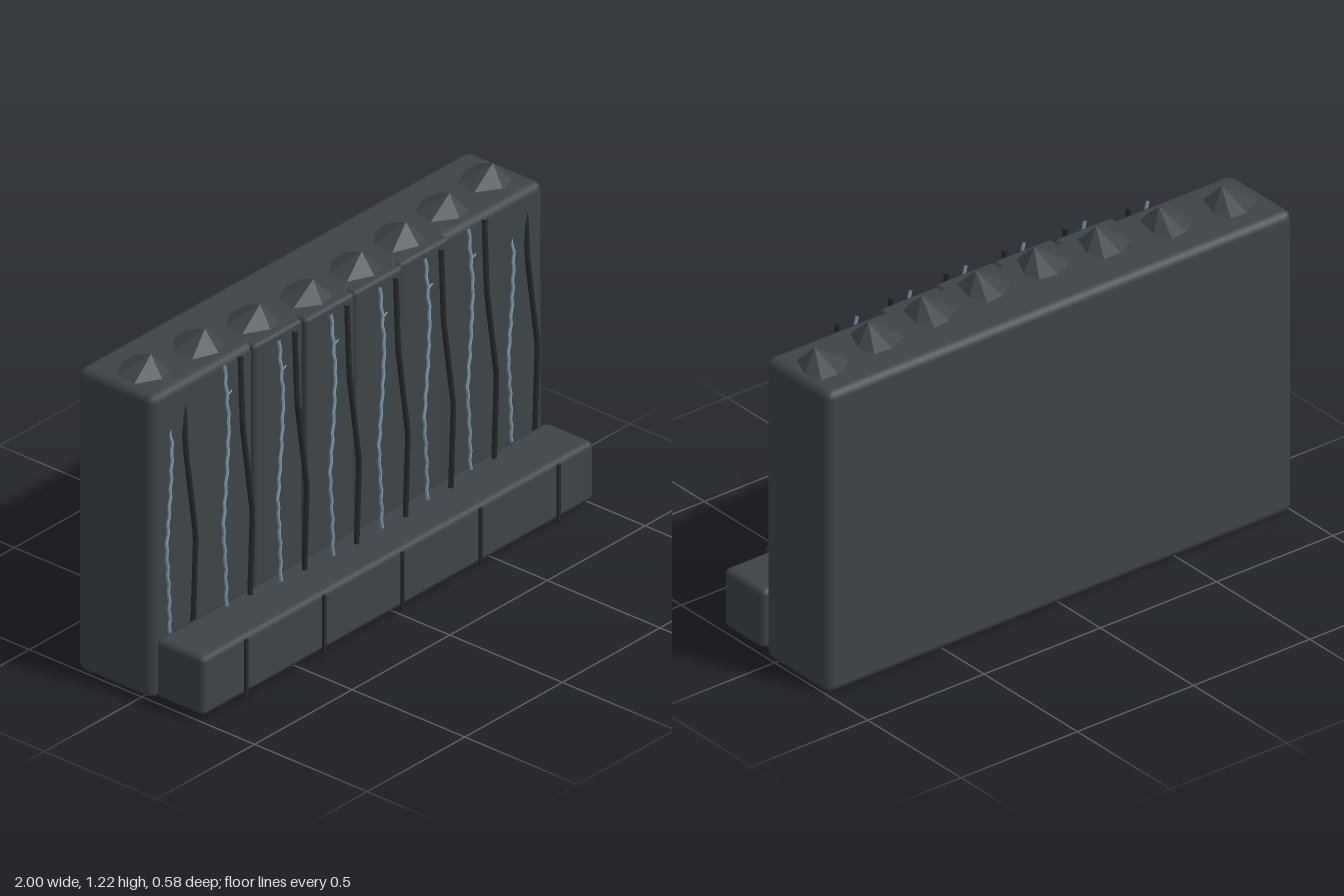
import * as THREE from 'three';
import { RoundedBoxGeometry } from 'three/addons/geometries/RoundedBoxGeometry.js';

const mat = (name, color) => new THREE.MeshStandardMaterial({ name, color });

export function createModel() {
  const model = new THREE.Group();
  model.name = 'rockWall';
  const stone = mat('stone', 0x3e4347);
  const dark = mat('darkStone', 0x24282b);
  const vein = mat('paleBlueVein', 0x7f9cb0);

  const add = (name, geometry, material, parent = model) => {
    const mesh = new THREE.Mesh(geometry, material);
    mesh.name = name;
    parent.add(mesh);
    return mesh;
  };
  // chamfered box given by its minimum and maximum corners
  const block = (name, a, b, bevel) => {
    const size = a.map((v, i) => b[i] - v);
    const mesh = add(name, new RoundedBoxGeometry(...size, 1, bevel), stone);
    mesh.position.set(...a.map((v, i) => (v + b[i]) / 2));
  };
  // straight-segmented path through points
  const polyline = points => {
    const path = new THREE.CurvePath();
    for (let i = 1; i < points.length; i++) {
      path.add(new THREE.LineCurve3(points[i - 1], points[i]));
    }
    return path;
  };
  const vectors = list => list.map(p => new THREE.Vector3(...p));
  const tube = (name, points, segments, radius, material, parent) =>
    add(name, new THREE.TubeGeometry(polyline(points), segments, radius, 6, false), material, parent);

  // main wall and the plinth in front of it
  block('wall', [-1, 0, -0.29], [1, 1.16, 0.05], 0.028);
  block('plinth', [-1, 0.02, 0.06], [1, 0.245, 0.275], 0.02);

  // thin joint strips standing just off the plinth
  for (let i = -2; i <= 2; i++) {
    const strip = add('jointStrip', new THREE.BoxGeometry(0.012, 0.22, 0.009), dark);
    strip.position.set(i * 0.4, 0.133, 0.29);
  }

  // per-column values, mirrored about the middle
  const slabFront = [0, 0, 0.067, 0.08];
  const ridgeZ = [0.05, 0.085, 0.11, 0.125];
  const capZ = [-0.105, -0.08, -0.055, -0.035];
  // outline of a cap stone, in x and z
  const capRing = [
    [0, 0.09], [0.065, 0.07], [0.097, -0.03], [0.075, -0.1],
    [0, -0.1], [-0.085, -0.05], [-0.095, 0.04],
  ];

  for (let c = 0; c < 8; c++) {
    const m = c < 4 ? c : 7 - c;
    const x = -0.875 + c * 0.25;
    const z = ridgeZ[m];

    // projecting front slab
    if (slabFront[m]) {
      block('frontSlab', [x - 0.125, 0, -0.1], [x + 0.125, 1.16, slabFront[m]], 0.014);
    }

    const column = new THREE.Group();
    column.name = 'columnDetail';
    column.position.x = x;
    model.add(column);

    // dark bent ridge
    tube('darkRidge', vectors([
      [0.062, 0.06, z + 0.01], [0.075, 0.56, z + 0.016],
      [0.028, 0.9, z + 0.013], [0.045, m === 0 ? 1.09 : 1.16, z - 0.012],
    ]), 24, 0.01, dark, column);

    // thin wandering vein, kinked from side to side
    const course = polyline(vectors([
      [-0.04, 0.06, z + 0.004], [-0.055, 0.38, z + 0.01], [-0.07, 0.56, z + 0.012],
      [-0.045, 0.78, z + 0.008], [-0.032, 0.94, z + 0.004],
      [-0.036, m === 0 ? 1.05 : 1.16, z - 0.012],
    ])).getSpacedPoints(30);
    course.forEach((p, i) => { p.x += (i % 2 ? 1 : -1) * 0.003; });
    tube('paleVein', course, 60, 0.006, vein, column);

    // short side branch near the top of the taller veins
    if (m > 0) {
      tube('veinBranch', vectors([
        [-0.034, 1.05, z - 0.002], [-0.01, 1.035, z - 0.015], [0.02, 1.03, z - 0.03],
      ]), 6, 0.003, vein, column);
    }

    // low faceted pyramid on top, turned a little from column to column
    const cone = new THREE.ConeGeometry(0.1, 0.064, 7, 1, true);
    const p = cone.attributes.position;
    for (let i = 0; i < p.count; i++) {
      if (p.getY(i) > 0) {
        p.setXYZ(i, 0.025, p.getY(i), 0.015);
      } else {
        const [rx, rz] = capRing[(i % 8) % 7];
        p.setX(i, rx);
        p.setZ(i, rz);
      }
    }
    const facets = cone.toNonIndexed();
    facets.computeVertexNormals();
    const cap = add('capStone', facets, stone, column);
    cap.position.set(0, 1.188, capZ[m]);
    cap.rotation.y = 0.12 * Math.sin(c * 1.7);
  }
  return model;
}
